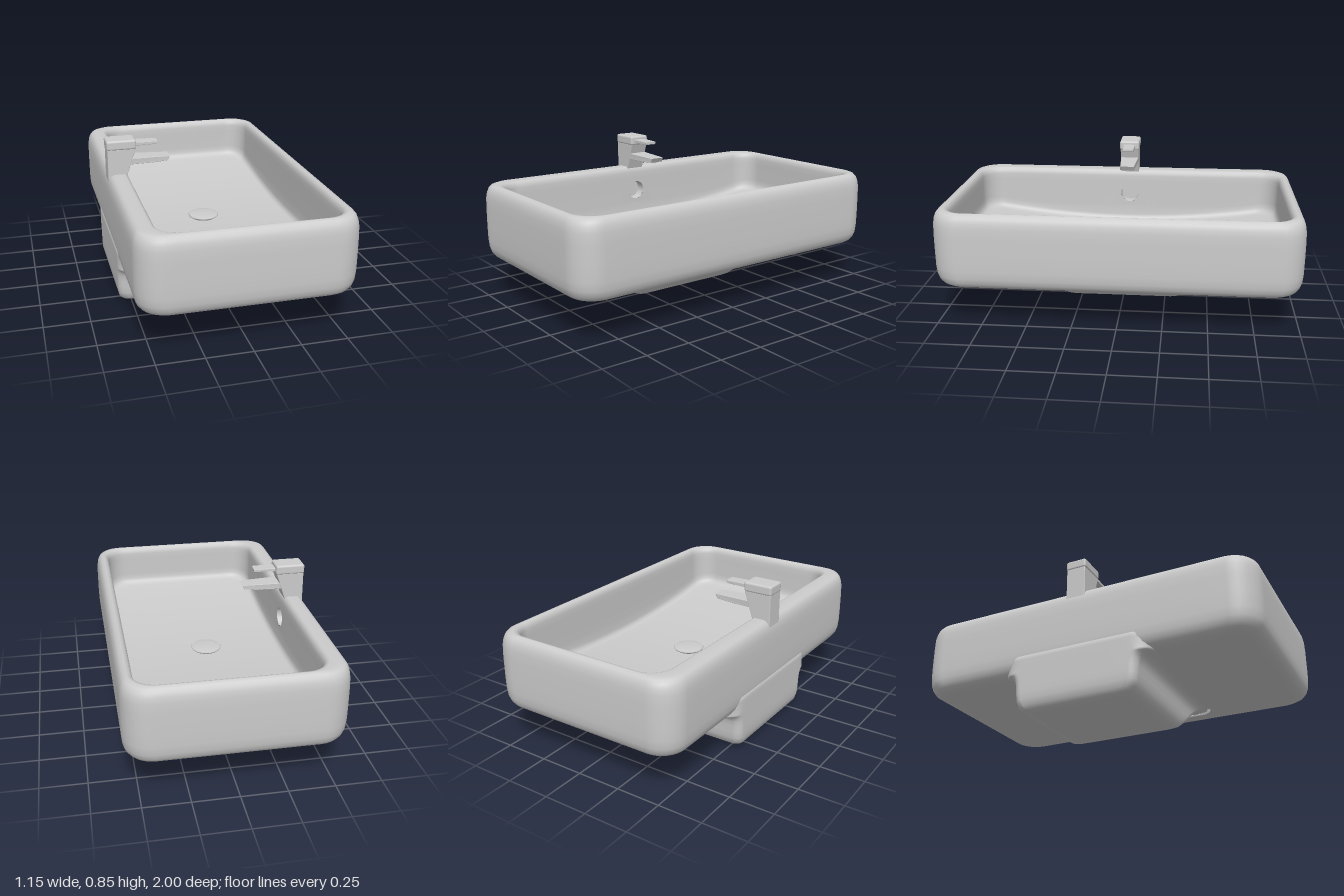
import * as THREE from 'three';
import { RoundedBoxGeometry } from 'three/addons/geometries/RoundedBoxGeometry.js';

const material = new THREE.MeshStandardMaterial({ color: 0xcccccc });
const ARC = 8, SIDE = 16;

// Rounded rectangle in plan; y is a height or a function of z
function ring(x0, x1, z0, z1, r, y) {
  const corners = [[x1 - r, z1 - r], [x0 + r, z1 - r], [x0 + r, z0 + r], [x1 - r, z0 + r]];
  const out = [];
  const add = (x, z) => out.push(new THREE.Vector3(x, typeof y === 'function' ? y(z) : y, z));
  corners.forEach(([cx, cz], k) => {
    const at = (c, a) => [c[0] + r * Math.cos(a), c[1] + r * Math.sin(a)];
    for (let i = 0; i <= ARC; i++) add(...at([cx, cz], (k + i / ARC) * Math.PI / 2));
    const a = at([cx, cz], (k + 1) * Math.PI / 2);
    const b = at(corners[(k + 1) % 4], (k + 1) * Math.PI / 2);
    for (let i = 1; i < SIDE; i++) {
      const t = i / SIDE;
      add(a[0] + (b[0] - a[0]) * t, a[1] + (b[1] - a[1]) * t);
    }
  });
  return out;
}

// Smooth skin over a stack of rings, leaving out quads whose centre passes skip()
function loft(rings, skip = () => false) {
  const n = rings[0].length, index = [];
  const geometry = new THREE.BufferGeometry().setFromPoints(rings.flat());
  for (let i = 0; i < rings.length - 1; i++) {
    for (let j = 0; j < n; j++) {
      const k = (j + 1) % n;
      const centre = new THREE.Vector3();
      [rings[i][j], rings[i][k], rings[i + 1][j], rings[i + 1][k]].forEach((p) => centre.addScaledVector(p, 0.25));
      if (skip(centre)) continue;
      const a = i * n + j, b = i * n + k;
      index.push(a, a + n, b, b, a + n, b + n);
    }
  }
  geometry.setIndex(index);
  geometry.computeVertexNormals();
  return geometry;
}

// Side profile in x,y extruded evenly about z = 0
function slab(points, half, bevel) {
  const shape = new THREE.Shape(points.map(([x, y]) => new THREE.Vector2(x, y)));
  const depth = 2 * (half - bevel);
  return new THREE.ExtrudeGeometry(shape, {
    depth, bevelThickness: bevel, bevelSize: bevel, bevelOffset: -bevel, bevelSegments: 2,
  }).translate(0, 0, -depth / 2);
}

// Narrow a part in z from full width at xa to a fraction at xb
function taper(geometry, xa, xb, end) {
  const p = geometry.attributes.position;
  for (let i = 0; i < p.count; i++) {
    const t = THREE.MathUtils.clamp((p.getX(i) - xa) / (xb - xa), 0, 1);
    p.setZ(i, p.getZ(i) * (1 + (end - 1) * t));
  }
  geometry.computeVertexNormals();
  return geometry;
}

export function createModel() {
  const model = new THREE.Group();
  const add = (name, geometry, parent = model) => {
    const mesh = new THREE.Mesh(geometry, material);
    mesh.name = name;
    parent.add(mesh);
    return mesh;
  };

  // Basin: underside, outer wall, rim, inner wall, then the dished floor
  const outer = (d, y) => ring(-0.575 + d, 0.575 - d, -1 + d, 1 - d, Math.max(0.145 - d * 0.5, 0.04), y);
  const inner = (d, y) => ring(-0.45 + d, 0.5 - d, -0.922 + d, 0.922 - d, 0.12 - d * 0.4, y);
  const floor = (z) => 0.335 + 0.08 * (z / 0.92) ** 2;
  const rings = [ring(0, 0, 0, 0, 0, 0.222)];
  [[0.3, 0.223], [0.13, 0.226], [0.08, 0.229], [0.05, 0.236], [0.028, 0.25], [0.014, 0.27], [0.005, 0.3],
    [0.001, 0.345], [0, 0.42], [0, 0.53], [0.002, 0.585], [0.007, 0.615], [0.015, 0.637], [0.027, 0.652], [0.045, 0.659],
  ].forEach(([d, y]) => rings.push(outer(d, y)));
  [[-0.026, 0.659], [-0.014, 0.654], [-0.004, 0.641], [0, 0.62], [0, 0.585]].forEach(([d, y]) => rings.push(inner(d, y)));
  rings.push(inner(0, (z) => Math.max(0.43, floor(z) + 0.06)));
  [[0.002, 0.032], [0.009, 0.013], [0.022, 0.003], [0.045, 0]].forEach(([d, h]) => rings.push(inner(d, (z) => floor(z) + h)));
  for (let i = 7; i >= 0; i--) {
    const s = i / 8;
    rings.push(ring(0.025 - 0.43 * s, 0.025 + 0.43 * s, -0.877 * s, 0.877 * s, 0.1 * s, floor));
  }
  const opening = (c) => Math.abs(c.x + 0.45) < 0.001 && c.y > 0.431 && c.y < 0.584 && Math.abs(c.z) < 0.1;
  add('basin', loft(rings, opening));

  // Overflow: wall panel with a round hole and a blind bore behind it
  const overflow = new THREE.Group();
  overflow.name = 'overflow';
  overflow.position.set(-0.45, 0.508, 0);
  overflow.rotation.y = Math.PI / 2;
  model.add(overflow);
  const w = (1.844 - 0.24) / SIDE;
  const panel = new THREE.Shape([[-w, -0.078], [w, -0.078], [w, 0.077], [-w, 0.077]].map((p) => new THREE.Vector2(...p)));
  panel.holes.push(new THREE.Path().absarc(0, 0, 0.055, 0, Math.PI * 2, true));
  add('overflowPanel', new THREE.ShapeGeometry(panel, 24), overflow);
  const bore = add('overflowBore', new THREE.CylinderGeometry(0.055, 0.055, 0.06, 32, 1, true)
    .rotateX(Math.PI / 2).translate(0, 0, -0.03), overflow);
  bore.material = material.clone();
  bore.material.side = THREE.DoubleSide;
  add('overflowBack', new THREE.CircleGeometry(0.055, 32).translate(0, 0, -0.06), overflow);

  // Wall bracket flaring into the underside: [y, back x, front x, half width, corner radius]
  const bracket = [
    [0.003, -0.3, -0.3, 0, 0], [0.003, -0.48, -0.06, 0.22, 0.045], [0.007, -0.525, 0.01, 0.285, 0.045],
    [0.016, -0.55, 0.05, 0.322, 0.045], [0.035, -0.565, 0.087, 0.344, 0.045], [0.07, -0.573, 0.133, 0.355, 0.045],
    [0.11, -0.575, 0.185, 0.359, 0.045], [0.15, -0.575, 0.235, 0.362, 0.045], [0.18, -0.575, 0.275, 0.367, 0.045],
    [0.2, -0.575, 0.307, 0.376, 0.048], [0.213, -0.575, 0.34, 0.39, 0.055], [0.221, -0.575, 0.385, 0.41, 0.07],
    [0.227, -0.575, 0.44, 0.435, 0.09], [0.235, -0.575, 0.3, 0.45, 0.11], [0.26, -0.575, 0.1, 0.47, 0.14],
    [0.3, -0.575, -0.2, 0.48, 0.15], [0.325, -0.574, -0.25, 0.48, 0.15], [0.33, -0.56, -0.25, 0.46, 0.15],
  ];
  add('wallBracket', loft(bracket.map(([y, x0, x1, h, r]) => ring(x0, x1, -h, h, r, y))));

  // Drain plug
  const plug = [[0, 0.32], [0.07, 0.32], [0.07, 0.344], [0.086, 0.346], [0.088, 0.351], [0.083, 0.356], [0.05, 0.36], [0, 0.362]];
  add('drainPlug', new THREE.LatheGeometry(plug.map((p) => new THREE.Vector2(...p)), 40).translate(-0.005, 0, 0));

  // Tap
  const tap = new THREE.Group();
  tap.name = 'tap';
  model.add(tap);
  add('tapBody', slab([[-0.566, 0.61], [-0.472, 0.61], [-0.406, 0.805], [-0.566, 0.805]], 0.056, 0.004), tap);
  add('tapHead', new RoundedBoxGeometry(0.167, 0.055, 0.12, 3, 0.012).translate(-0.4865, 0.8265, 0), tap);
  add('tapLever', taper(slab([[-0.42, 0.813], [-0.283, 0.815], [-0.278, 0.819], [-0.278, 0.832], [-0.42, 0.834]], 0.036, 0.003),
    -0.41, -0.28, 0.9), tap);
  add('tapSpout', taper(slab([[-0.47, 0.711], [-0.3, 0.711], [-0.225, 0.716], [-0.21, 0.742], [-0.45, 0.748]], 0.055, 0.003),
    -0.44, -0.21, 0.75), tap);
  add('spoutOutlet', new THREE.CylinderGeometry(0.014, 0.014, 0.01, 24).translate(-0.247, 0.713, 0), tap);
  return model;
}
